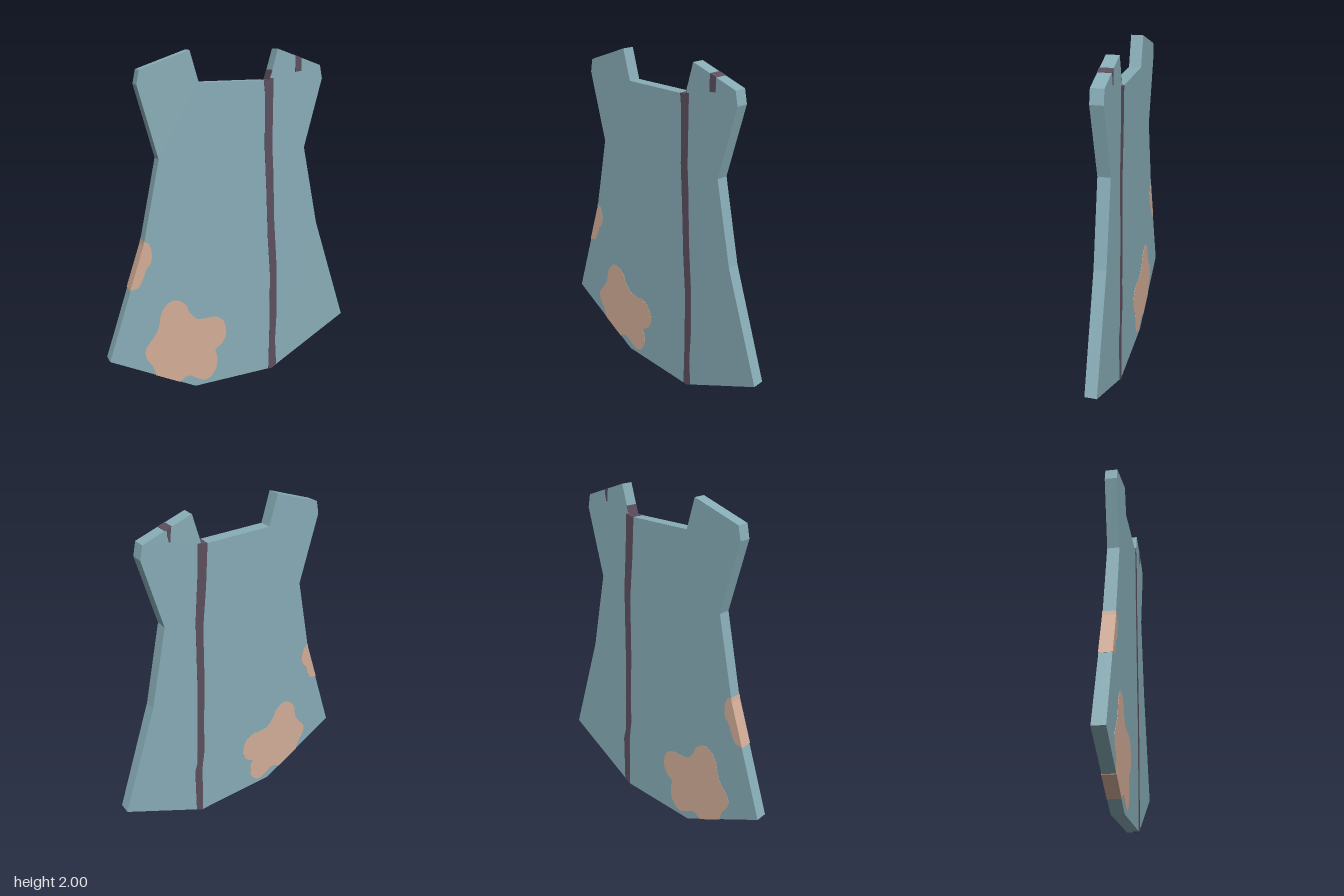
import * as THREE from 'three';

const HALF = 0.035;   // half the slab thickness
const LIFT = 0.0015;  // how far painted areas stand proud

const mat = (name, color) => {
  const m = new THREE.MeshStandardMaterial({ color });
  m.name = name;
  return m;
};

// Straight-edged shape from [x, y] pairs
const poly = (pts) => new THREE.Shape(pts.map(([x, y]) => new THREE.Vector2(x, y)));

// Rounded blob: a smooth curve, closed by straight edges through the given corners
const blob = (pts, corners = []) => {
  const curve = new THREE.SplineCurve(pts.map(([x, y]) => new THREE.Vector2(x, y)));
  return new THREE.Shape([...curve.getPoints(pts.length * 4), ...corners.map(([x, y]) => new THREE.Vector2(x, y))]);
};

// Flat part extruded between two z depths
const slab = (name, shape, z0, z1, material) => {
  const geo = new THREE.ExtrudeGeometry(shape, { depth: z1 - z0, bevelEnabled: false });
  geo.translate(0, 0, z0);
  const mesh = new THREE.Mesh(geo, material);
  mesh.name = name;
  return mesh;
};

export function createModel() {
  const teal = mat('dusty teal', 0x88adb7);
  const salmon = mat('pale salmon', 0xd4ae98);
  const plum = mat('dark plum', 0x5c4f5e);
  const group = new THREE.Group();
  group.name = 'armourPlate';
  const out = HALF + LIFT;

  // Plate outline: right half, then mirrored
  const half = [
    [0.265, 0], [0.785, 0.285], [0.56, 0.95], [0.455, 1.43], [0.562, 1.83],
    [0.545, 1.905], [0.265, 2], [0.215, 1.83],
  ];
  const mirrored = half.map(([x, y]) => [-x, y]).reverse();
  group.add(slab('plate', poly([...half, ...mirrored]), -HALF, HALF, teal));

  // Large patch, running through to the lower edge
  const large = blob([
    [-0.516, 0.135], [-0.53, 0.19], [-0.57, 0.26], [-0.57, 0.32], [-0.52, 0.385], [-0.49, 0.44],
    [-0.47, 0.53], [-0.42, 0.585], [-0.37, 0.59], [-0.32, 0.555], [-0.295, 0.5], [-0.25, 0.45],
    [-0.2, 0.442], [-0.13, 0.44], [-0.075, 0.4], [-0.058, 0.32], [-0.085, 0.255], [-0.13, 0.22],
    [-0.12, 0.17], [-0.125, 0.1], [-0.16, 0.045], [-0.2, 0.028], [-0.25, 0.05], [-0.3, 0.08],
    [-0.335, 0.075], [-0.366, 0.053],
  ]);
  group.add(slab('largePatch', large, -out, out, salmon));

  // Small patch wrapping round the side edge
  const small = blob([
    [-0.648, 0.7], [-0.6, 0.71], [-0.57, 0.76], [-0.55, 0.81], [-0.52, 0.85],
    [-0.515, 0.91], [-0.53, 0.96], [-0.557, 0.975],
  ], [[-0.562, 0.95]]);
  group.add(slab('sidePatch', small, -out, out, salmon));

  // Long stripe, slightly different on the front and the back
  const stripeFront = poly([
    [0.24, -0.001], [0.265, -0.001], [0.297, 0.016], [0.285, 0.2], [0.293, 0.4], [0.285, 0.7],
    [0.262, 1.0], [0.25, 1.3], [0.24, 1.45], [0.24, 1.84], [0.217, 1.84], [0.214, 1.8315],
    [0.178, 1.8315], [0.188, 1.75], [0.19, 1.45], [0.205, 1.2], [0.22, 0.9], [0.24, 0.65], [0.243, 0.3],
  ]);
  const stripeBack = poly([
    [0.262, -0.001], [0.265, -0.001], [0.308, 0.022], [0.308, 0.35], [0.288, 0.42], [0.28, 0.7],
    [0.27, 0.95], [0.267, 1.4], [0.247, 1.65], [0.24, 1.84], [0.217, 1.84], [0.214, 1.8315],
    [0.18, 1.8315], [0.195, 1.6], [0.22, 1.35], [0.222, 0.95], [0.235, 0.7], [0.235, 0.5], [0.255, 0.36],
  ]);
  group.add(slab('stripeFront', stripeFront, 0, out, plum));
  group.add(slab('stripeBack', stripeBack, -out, 0, plum));

  // Stripe carried up the slanted side of the notch
  const notch = poly([[0.213, 1.83], [0.217, 1.83], [0.233, 1.885], [0.229, 1.885]]);
  group.add(slab('notchStripe', notch, -HALF, HALF, plum));

  // Short mark over the top of the shoulder
  const top = (x) => 2 - (x - 0.265) * 0.339 + 0.0015;
  const markFront = poly([[0.38, 1.87], [0.42, 1.875], [0.42, top(0.42)], [0.38, top(0.38)]]);
  const markTop = poly([[0.38, top(0.38) - 0.004], [0.42, top(0.42) - 0.004], [0.42, top(0.42)], [0.38, top(0.38)]]);
  const markBack = poly([
    [0.394, 1.885], [0.401, 1.885], [0.408, 1.92], [0.41, top(0.41)], [0.385, top(0.385)], [0.39, 1.92],
  ]);
  group.add(slab('shoulderMarkFront', markFront, HALF - 0.004, out, plum));
  group.add(slab('shoulderMarkTop', markTop, -HALF, HALF, plum));
  group.add(slab('shoulderMarkBack', markBack, -out, -HALF + 0.004, plum));

  return group;
}
